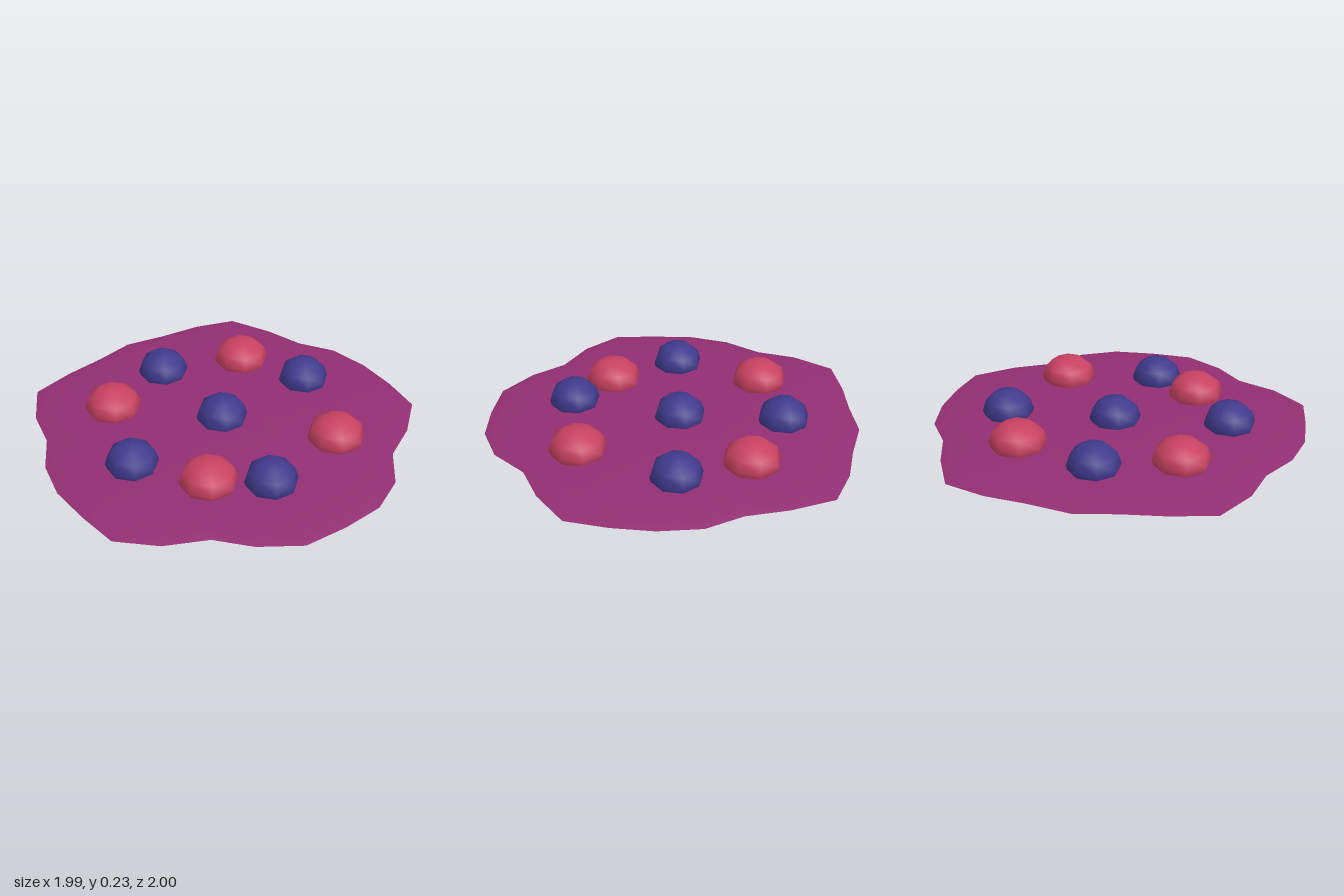
import * as THREE from 'three';

// wavy rim of the slab as [x, z], clockwise seen from above
const RIM = [
  [0.19, -1.0], [0.38, -0.85], [0.53, -0.69], [0.71, -0.58], [0.84, -0.4], [0.93, -0.2], [0.995, 0.01],
  [0.9, 0.23], [0.77, 0.41], [0.72, 0.63], [0.59, 0.8], [0.4, 0.91], [0.19, 1.0], [-0.04, 0.97],
  [-0.23, 0.89], [-0.46, 0.895], [-0.68, 0.825], [-0.8, 0.64], [-0.91, 0.44], [-0.96, 0.23], [-0.945, 0.01],
  [-0.995, -0.2], [-0.98, -0.44], [-0.8, -0.59], [-0.62, -0.71], [-0.45, -0.84], [-0.23, -0.9], [-0.03, -0.97],
];

// shell of scaled rims; profile is [scale, y] from rim to centre
function shell(profile, up) {
  const n = RIM.length, pos = [], index = [];
  const tri = (a, b, c) => index.push(...(up ? [a, c, b] : [a, b, c]));
  for (const [s, y] of profile)
    for (const [x, z] of RIM) pos.push(x * s, y, z * s);
  for (let r = 0; r < profile.length - 1; r++) {
    for (let i = 0; i < n; i++) {
      const j = (i + 1) % n, a = r * n, b = a + n;
      tri(a + i, a + j, b + j);
      if (profile[r + 1][0] > 0) tri(a + i, b + j, b + i);
    }
  }
  const g = new THREE.BufferGeometry();
  g.setAttribute('position', new THREE.Float32BufferAttribute(pos, 3));
  g.setIndex(index);
  g.computeVertexNormals();
  // the centre ring is a single point, so its normals are plain vertical
  const normals = g.attributes.normal;
  for (let k = (profile.length - 1) * n; k < normals.count; k++) normals.setXYZ(k, 0, up ? 1 : -1, 0);
  return g;
}

export function createModel() {
  const model = new THREE.Group();
  const mat = (name, color) => Object.assign(new THREE.MeshStandardMaterial({ color }), { name });
  const plum = mat('plum', 0x932f72);
  const purple = mat('purple', 0x6a328b);
  const red = mat('berry red', 0xc84261);
  const blue = mat('berry blue', 0x403a8c);

  const add = (name, geometry, material) => {
    const mesh = new THREE.Mesh(geometry, material);
    mesh.name = name;
    model.add(mesh);
    return mesh;
  };

  // slab: domed top and flatter purple underside
  add('slabTop', shell([[1, 0.064], [0.95, 0.076], [0.82, 0.084], [0.55, 0.091], [0, 0.095]], true), plum);
  add('slabUnderside', shell([[1, 0.064], [0.95, 0.054], [0.82, 0.047], [0.55, 0.044], [0, 0.043]], false), purple);

  // berries: squashed eight-sided balls sunk through the slab
  const berries = (name, spots, radius, halfHeight, y, material) => {
    const g = new THREE.SphereGeometry(1, 8, 6).scale(radius, halfHeight, radius);
    for (const [x, z] of spots) add(name, g, material).position.set(x, y, z);
  };
  berries('blueBerry', [[-0.285, -0.48], [0.46, -0.28], [-0.035, 0], [-0.535, 0.315], [0.115, 0.565]],
    0.134, 0.113, 0.113, blue);
  berries('redBerry', [[0.16, -0.53], [-0.585, -0.18], [0.508, 0.267], [-0.185, 0.515]],
    0.147, 0.108, 0.118, red);

  return model;
}
